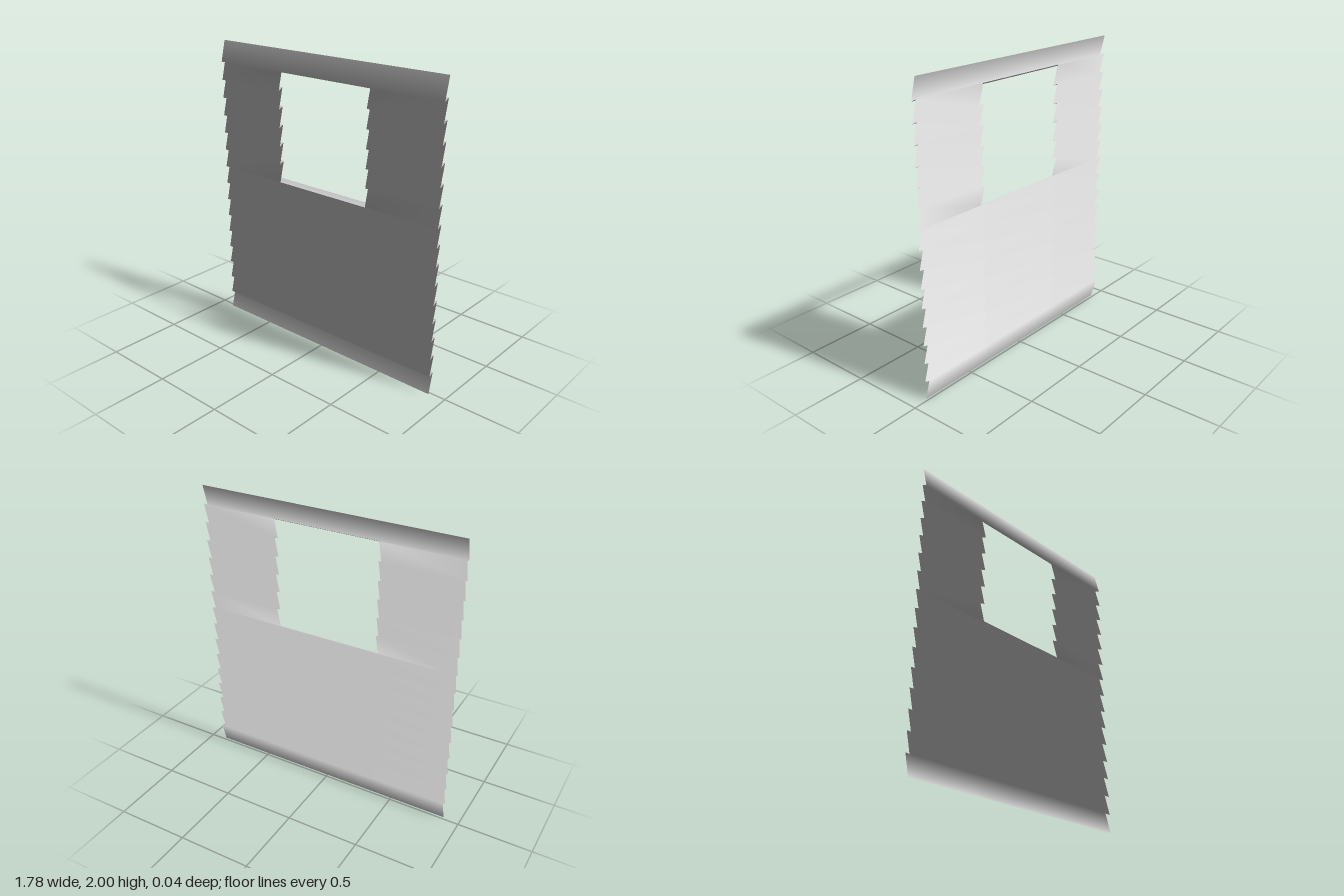
import * as THREE from 'three';

const BOARDS = 16, PITCH = 0.1239, BOARD_H = 2 - 15 * PITCH; // boards overlap a little
const Z = 0.0175;                                            // half depth of the sawtooth
const COLUMNS = [-0.89, -0.358, 0.358, 0.89];                // wall ends and window jambs
const WINDOW = { first: 18, last: 28 };                      // strips left open in the middle

// Sawtooth profile: each board leans, its lower edge out in front
function sidingProfile() {
  const points = [];
  for (let i = 0; i < BOARDS; i++) {
    points.push([i * PITCH, Z], [i * PITCH + BOARD_H, -Z]);
  }
  return points;
}

// One smooth sheet: boards and the narrow laps joining them, with a window opening
function sidingGeometry() {
  const profile = sidingProfile();
  const n = COLUMNS.length;
  const positions = [], indices = [];
  for (const [y, z] of profile) for (const x of COLUMNS) positions.push(x, y, z);
  const normals = new Float32Array(positions.length);

  for (let k = 0; k < profile.length - 1; k++) {
    const dy = profile[k + 1][0] - profile[k][0];
    const dz = profile[k + 1][1] - profile[k][1];
    const len = Math.hypot(dy, dz);
    for (let c = 0; c < n - 1; c++) {
      if (c === 1 && k >= WINDOW.first && k <= WINDOW.last) continue;
      const a = k * n + c, b = a + 1, d = a + n, e = d + 1;
      indices.push(a, e, b, a, d, e);
      // each strip counts equally in the shared smooth normals
      for (const v of [a, b, d, e]) {
        normals[v * 3 + 1] += dz / len;
        normals[v * 3 + 2] -= dy / len;
      }
    }
  }

  const geometry = new THREE.BufferGeometry();
  geometry.setAttribute('position', new THREE.Float32BufferAttribute(positions, 3));
  geometry.setAttribute('normal', new THREE.BufferAttribute(normals, 3));
  geometry.setIndex(indices);
  geometry.normalizeNormals();
  return geometry;
}

export function createModel() {
  const group = new THREE.Group();
  group.name = 'sidingWallWithWindow';
  const material = new THREE.MeshStandardMaterial({ color: 0xcccccc, side: THREE.DoubleSide });
  const siding = new THREE.Mesh(sidingGeometry(), material);
  siding.name = 'clapboardSiding';
  group.add(siding);
  return group;
}
